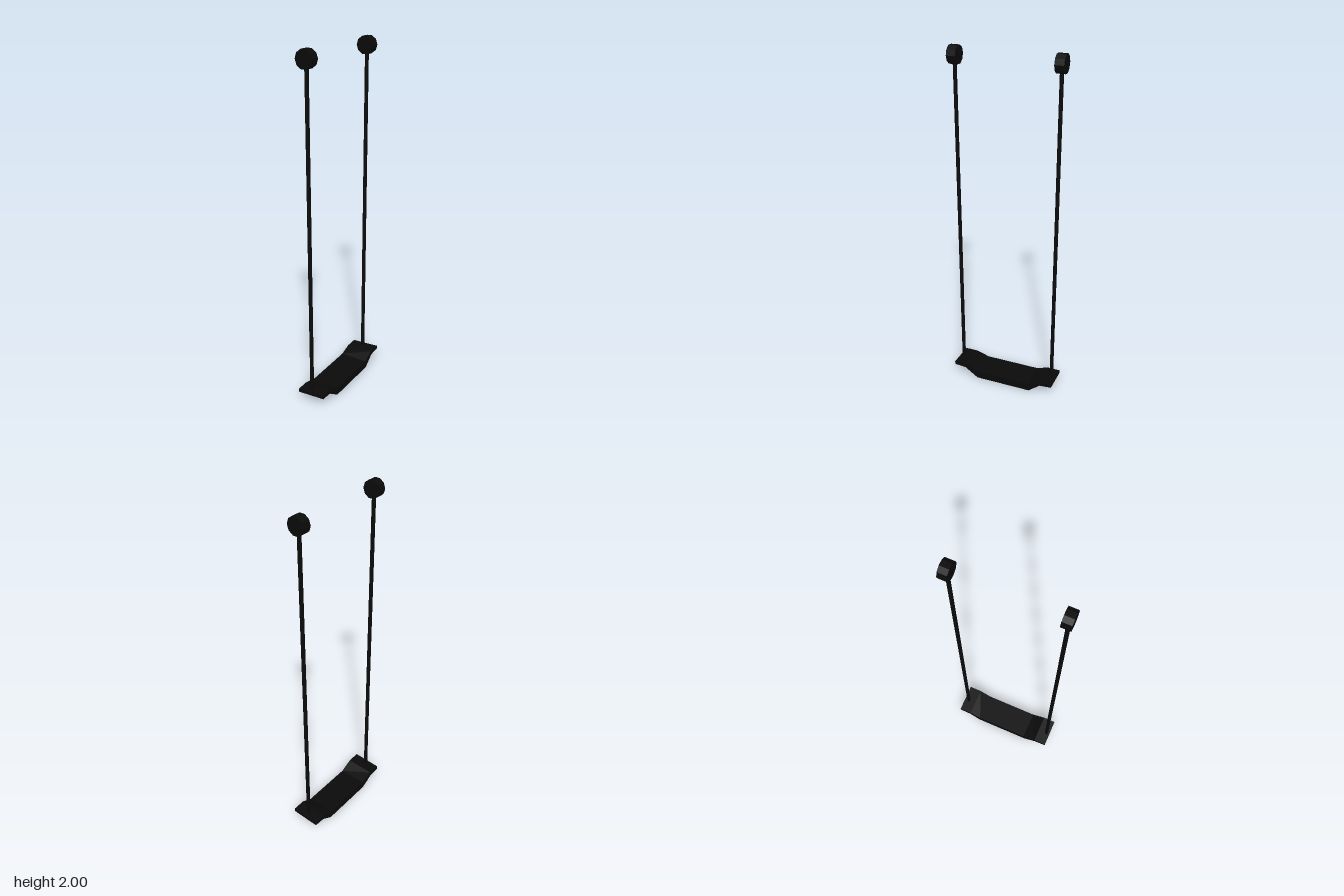
import * as THREE from 'three';

const black = new THREE.MeshStandardMaterial({ color: 0x0a0a0a, flatShading: true });

// Swing seat: bent profile in (z, y), extruded across x, with slightly tilted raised ends
function makeSeat() {
  const profile = [
    [0.31, 0.06], [0.24, 0.055], [0.16, 0], [-0.175, 0], [-0.245, 0.055], [-0.315, 0.06],
    [-0.315, 0.08], [-0.24, 0.08], [-0.17, 0.045], [0.155, 0.045], [0.235, 0.08], [0.31, 0.08],
  ];
  const shape = new THREE.Shape(profile.map(([z, y]) => new THREE.Vector2(-z, y)));
  const geo = new THREE.ExtrudeGeometry(shape, { depth: 0.168, bevelEnabled: false });
  geo.rotateY(Math.PI / 2).translate(-0.085, 0, 0);
  const pos = geo.attributes.position;
  for (let i = 0; i < pos.count; i++) {
    if (pos.getY(i) > 0.05) pos.setY(i, pos.getY(i) - 0.005 + pos.getX(i) * 0.07);
  }
  geo.computeVertexNormals();
  const seat = new THREE.Mesh(geo, black);
  seat.name = 'seat';
  return seat;
}

// One hanging rod with the round mount at its top
function makeHanger(name, z) {
  const hanger = new THREE.Group();
  hanger.name = name;

  const rod = new THREE.Mesh(new THREE.CylinderGeometry(0.011, 0.011, 1.88, 8), black);
  rod.name = 'rod';
  rod.position.y = 1.0;

  const mountGeo = new THREE.CylinderGeometry(0.05, 0.05, 0.05, 10, 1, false, Math.PI / 10);
  const mount = new THREE.Mesh(mountGeo.rotateX(Math.PI / 2), black);
  mount.name = 'mount';
  mount.position.y = 1.952;

  hanger.add(rod, mount);
  hanger.position.set(-0.006, 0, z);
  return hanger;
}

export function createModel() {
  const model = new THREE.Group();
  model.name = 'swing';
  model.add(makeSeat(), makeHanger('frontHanger', 0.289), makeHanger('backHanger', -0.288));
  return model;
}
